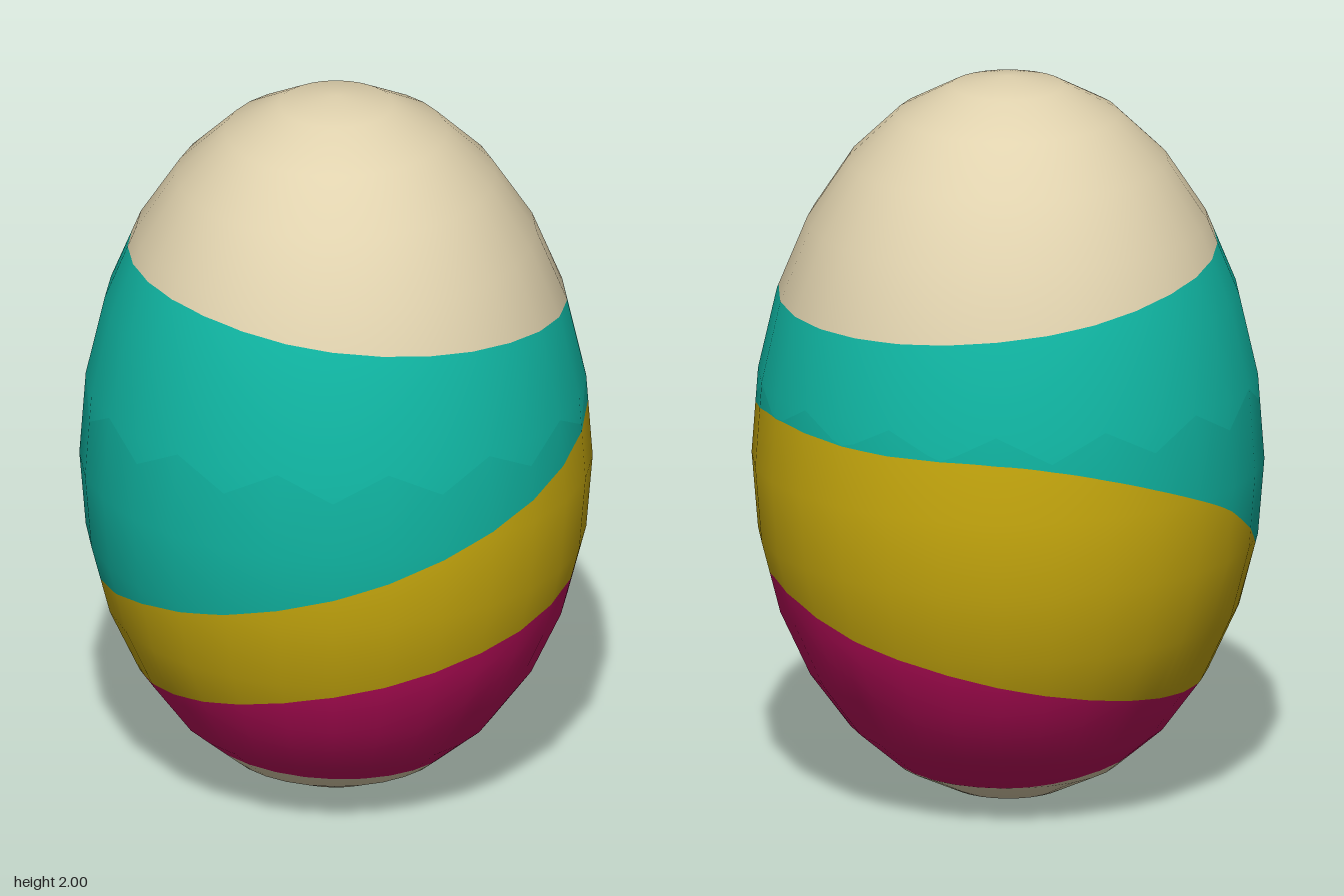
import * as THREE from 'three';

const SIDES = 28, SUB = 4, COLS = SIDES * SUB;
const RADIUS = 0.69, BELLY = 0.94; // widest ring and its height

// Rings of the egg, from the bottom pole to the top pole
const rings = [];
for (let k = 0; k <= 14; k++) {
  const t = (k * Math.PI) / 14, c = -Math.cos(t);
  rings.push({ y: BELLY + c * (c < 0 ? BELLY : 2 - BELLY), r: k % 14 ? RADIUS * Math.sin(t) : 0 });
}

// Faceted egg radius at a height and column
function radiusAt(y, col) {
  let k = 0;
  while (k < 13 && y > rings[k + 1].y) k++;
  const a = rings[k], b = rings[k + 1];
  const r = THREE.MathUtils.lerp(a.r, b.r, (y - a.y) / (b.y - a.y));
  const half = Math.PI / SIDES;
  const within = ((col % SUB) / SUB) * 2 * half - half;
  return (r * Math.cos(half)) / Math.cos(within);
}

// Closed smooth curve through eight heights, starting at +x and turning towards +z
function wave(h) {
  return (col) => {
    const s = ((col % COLS) / COLS) * 8, i = Math.floor(s), t = s - i;
    const [a, b, c, d] = [7, 0, 1, 2].map((o) => h[(i + o) % 8]);
    return b + 0.5 * t * (c - a + t * (2 * a - 5 * b + 4 * c - d + t * (3 * (b - c) + d - a)));
  };
}

const bottom = () => 0, top = () => 2;
const baseEdge = wave([0.11, 0.125, 0.14, 0.153, 0.155, 0.125, 0.095, 0.095]);
const pinkEdge = wave([0.645, 0.59, 0.495, 0.395, 0.345, 0.355, 0.425, 0.535]);
const goldEdge = wave([1.105, 0.98, 0.815, 0.695, 0.645, 0.91, 1.08, 1.105]);
const tealEdge = wave([1.4, 1.45, 1.503, 1.55, 1.55, 1.505, 1.44, 1.4]);
// Zigzag seam where the two shell halves meet
const seam = (col) => {
  const u = (col / (SUB * 2)) % 1;
  return Math.max(goldEdge(col) + 0.002, 1.1 + 0.076 * Math.abs(1 - 2 * u));
};

// Strip of shell between two edges; side is +1 above the seam and -1 below
function band(name, lower, upper, material, side) {
  const pos = [], nor = [], index = [];
  const rows = rings.length;
  for (let i = 0; i <= COLS; i++) {
    const phi = (i / COLS) * Math.PI * 2, lo = lower(i), hi = upper(i);
    for (const ring of rings) {
      const y = THREE.MathUtils.clamp(ring.y, lo, hi);
      const r = radiusAt(y, i);
      const x = r * Math.cos(phi), z = r * Math.sin(phi);
      pos.push(x, y, z);
      const b = y < BELLY ? BELLY : 2 - BELLY;
      const n = new THREE.Vector3(x / RADIUS ** 2, (y - BELLY) / b ** 2, z / RADIUS ** 2).normalize();
      // slight crease along the seam
      n.y += side * 0.05 * Math.max(0, 1 - Math.abs(y - 1.14) / 0.22);
      n.normalize();
      nor.push(n.x, n.y, n.z);
    }
  }
  // Add a triangle unless it has collapsed
  const v = [0, 1, 2].map(() => new THREE.Vector3());
  const face = (...ids) => {
    ids.forEach((id, k) => v[k].fromArray(pos, id * 3));
    if (new THREE.Triangle(...v).getArea() > 1e-8) index.push(...ids);
  };
  for (let i = 0; i < COLS; i++) {
    for (let j = 0; j < rows - 1; j++) {
      const a = i * rows + j, d = a + rows;
      face(a, a + 1, d);
      face(a + 1, d + 1, d);
    }
  }
  const geometry = new THREE.BufferGeometry();
  geometry.setAttribute('position', new THREE.Float32BufferAttribute(pos, 3));
  geometry.setAttribute('normal', new THREE.Float32BufferAttribute(nor, 3));
  geometry.setIndex(index);
  const mesh = new THREE.Mesh(geometry, material);
  mesh.name = name;
  return mesh;
}

function paint(name, color) {
  const m = new THREE.MeshStandardMaterial({ color });
  m.name = name;
  return m;
}

export function createModel() {
  const cream = paint('cream', 0xe0d2ae);
  const teal = paint('teal', 0x10b5a2);
  const gold = paint('gold', 0xcbac0e);
  const magenta = paint('magenta', 0xc20d5e);

  const egg = new THREE.Group();
  egg.name = 'paintedEgg';
  egg.add(
    band('eggBase', bottom, baseEdge, cream, -1),
    band('magentaBand', baseEdge, pinkEdge, magenta, -1),
    band('goldBand', pinkEdge, goldEdge, gold, -1),
    band('lowerTealBand', goldEdge, seam, teal, -1),
    band('upperTealBand', seam, tealEdge, teal, 1),
    band('eggTop', tealEdge, top, cream, 1)
  );
  return egg;
}
